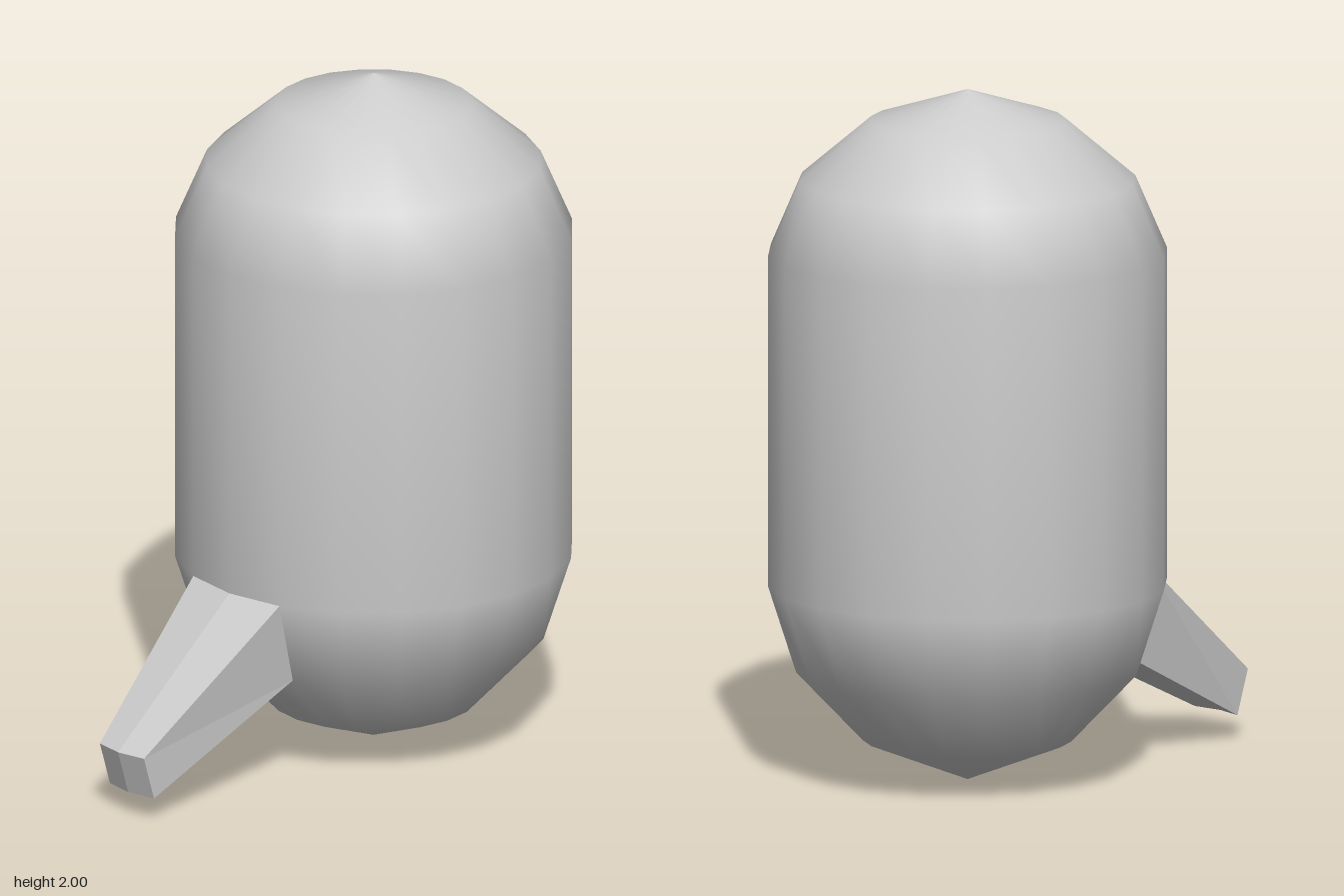
import * as THREE from 'three';

const AXIS_Z = -0.22; // centre line of the body
const SIDES = 20;

export function createModel() {
  const group = new THREE.Group();
  const material = new THREE.MeshStandardMaterial({ color: 0xcccccc });

  // Capsule body with faceted domes
  const profile = [
    [0, 0], [0.3, 0.12], [0.49, 0.32], [0.57, 0.57],
    [0.57, 1.53], [0.48, 1.74], [0.28, 1.91], [0, 2],
  ].map(([r, y]) => new THREE.Vector2(r, y));
  const body = new THREE.Mesh(new THREE.LatheGeometry(profile, SIDES), material);
  body.name = 'body';
  body.position.z = AXIS_Z;
  group.add(body);

  // Tapered spout: two body facets wide, sloping down to the front
  const step = (2 * Math.PI) / SIDES;
  const rootRow = (r, y) => [-1, 0, 1].map((s) =>
    new THREE.Vector3(r * Math.sin(s * step), y, AXIS_Z + r * Math.cos(s * step)));
  const tipRow = (y, z) => [-1, 0, 1].map((s) =>
    new THREE.Vector3(s * 0.09, y, z - Math.abs(s) * 0.015));
  const ring = (low, high) => [...low, ...high.reverse()];
  const root = ring(rootRow(0.49, 0.32), rootRow(0.57, 0.57));
  const tip = ring(tipRow(0.07, 0.75), tipRow(0.2, 0.79));

  const points = [];
  for (let i = 0; i < 6; i++) {
    const j = (i + 1) % 6;
    points.push(root[i], root[j], tip[j], root[i], tip[j], tip[i]);
  }
  // End face of the spout
  for (const i of [0, 1]) {
    const [a, b, c, d] = [tip[i], tip[i + 1], tip[4 - i], tip[5 - i]];
    points.push(a, b, c, a, c, d);
  }
  const spoutGeometry = new THREE.BufferGeometry().setFromPoints(points);
  spoutGeometry.computeVertexNormals();
  const spoutMaterial = material.clone();
  spoutMaterial.side = THREE.DoubleSide;
  const spout = new THREE.Mesh(spoutGeometry, spoutMaterial);
  spout.name = 'spout';
  group.add(spout);

  return group;
}
